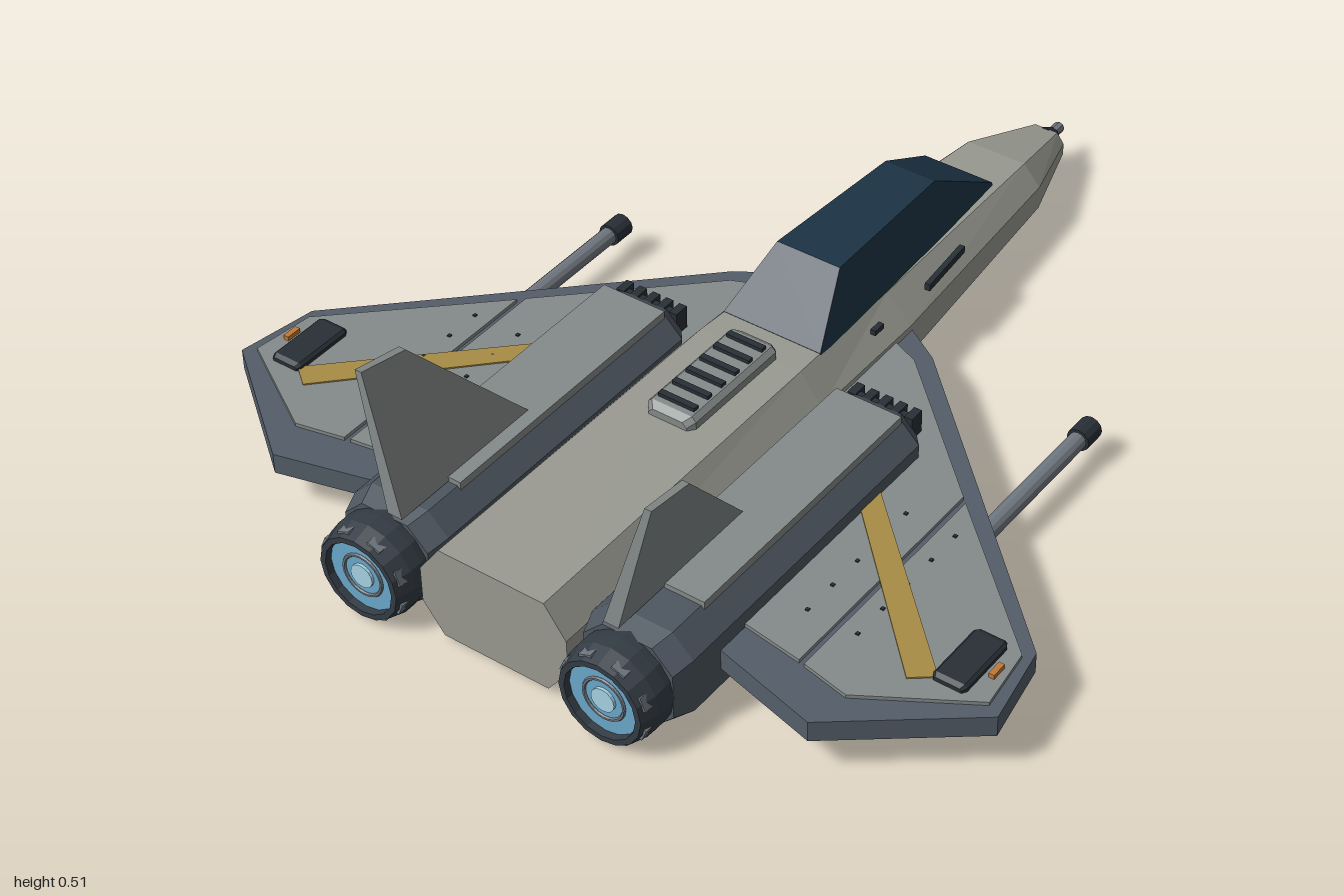
import * as THREE from 'three';

const mat = (color) => new THREE.MeshStandardMaterial({ color, flatShading: true });
const HULL = mat(0x9a9b92), PANEL = mat(0x858b8a), FRAME = mat(0x545e69), DARK = mat(0x282f36);
const NACELLE = mat(0x4d5660), GLASS = mat(0x1c3344), STRIPE = mat(0xa98c45), METAL = mat(0x70777f);
const GLOW = mat(0x6aa9cc), CORE = mat(0xa9d4e6), LAMP = mat(0xc07a35);

function add(parent, name, geometry, material, x = 0, y = 0, z = 0) {
  const mesh = new THREE.Mesh(geometry, material);
  mesh.name = name;
  mesh.position.set(x, y, z);
  parent.add(mesh);
  return mesh;
}

const box = (w, h, d) => new THREE.BoxGeometry(w, h, d);
// Cylinder along z: r0 at the -z end, r1 at the +z end
const rod = (r0, r1, len, n = 12) => new THREE.CylinderGeometry(r1, r0, len, n).rotateX(Math.PI / 2);

// Skin convex rings (counter-clockwise seen from +z, ordered by rising z) and cap both ends
function loft(rings) {
  const out = [], n = rings[0].length, last = rings[rings.length - 1];
  const tri = (...p) => p.forEach((v) => out.push(...v));
  for (let i = 0; i < rings.length - 1; i++) {
    for (let j = 0; j < n; j++) {
      const k = (j + 1) % n, a = rings[i], b = rings[i + 1];
      tri(a[j], a[k], b[j]);
      tri(a[k], b[k], b[j]);
    }
  }
  for (let j = 1; j < n - 1; j++) {
    tri(rings[0][0], rings[0][j + 1], rings[0][j]);
    tri(last[0], last[j], last[j + 1]);
  }
  const g = new THREE.BufferGeometry();
  g.setAttribute('position', new THREE.Float32BufferAttribute(out, 3));
  g.computeVertexNormals();
  return g;
}

// Eight-sided section: half width w, half flat t, bottom y0, top y1, side edges at ya and yb
const octagon = (z, w, t, y0, y1, ya, yb) => [
  [w, ya, z], [w, yb, z], [t, y1, z], [-t, y1, z], [-w, yb, z], [-w, ya, z], [-t, y0, z], [t, y0, z]];

// Chamfered rectangle section
const chamfered = (z, w, y0, y1, c) => octagon(z, w, w - c, y0, y1, y0 + c, y1 - c);

// Four-sided section, wider at the bottom
const trapezoid = (z, wb, yb, wt, yt) => [[wb, yb, z], [wt, yt, z], [-wt, yt, z], [-wb, yb, z]];

// Horizontal plate from [x, z] corners, mirrored by side
function plate(points, side, y0, y1) {
  const shape = new THREE.Shape(points.map(([x, z]) => new THREE.Vector2(side * x, -z)));
  return new THREE.ExtrudeGeometry(shape, { depth: y1 - y0, bevelEnabled: false })
    .rotateX(-Math.PI / 2).translate(0, y0, 0);
}

function buildFuselage(g) {
  const sections = [[-0.945, 0.045, 0.028, 0.055, 0.125], [-0.74, 0.11, 0.07, 0.04, 0.18],
    [-0.17, 0.163, 0.105, 0.026, 0.215], [0.15, 0.17, 0.118, 0.022, 0.228], [0.95, 0.17, 0.122, 0.02, 0.23]];
  add(g, 'fuselage', loft(sections.map(([z, w, t, y0, y1]) =>
    octagon(z, w, t, y0, y1, y0 + 0.3 * (y1 - y0), y0 + 0.68 * (y1 - y0)))), HULL);
  add(g, 'keel', loft([trapezoid(-0.78, 0.035, 0.024, 0.04, 0.05),
    trapezoid(-0.4, 0.06, 0.017, 0.07, 0.04), trapezoid(0.93, 0.075, 0.012, 0.085, 0.03)]), DARK);
  add(g, 'noseCollar', rod(0.02, 0.036, 0.03, 8), DARK, 0, 0.095, -0.955);
  add(g, 'noseProbe', rod(0.013, 0.013, 0.05, 8), METAL, 0, 0.098, -0.975);

  // Canopy with a raked windscreen and rear slope
  add(g, 'canopy', loft([trapezoid(-0.59, 0.085, 0.22, 0.083, 0.226),
    trapezoid(-0.405, 0.097, 0.22, 0.06, 0.33), trapezoid(-0.045, 0.113, 0.22, 0.075, 0.34),
    trapezoid(0.08, 0.118, 0.22, 0.116, 0.226)]), GLASS);

  // Slatted vent on the spine
  add(g, 'spineVent', loft([chamfered(0.13, 0.045, 0.215, 0.245, 0.01), chamfered(0.145, 0.057, 0.215, 0.255, 0.01),
    chamfered(0.405, 0.057, 0.215, 0.255, 0.01), chamfered(0.42, 0.045, 0.215, 0.245, 0.01)]), PANEL);
  for (let i = 0; i < 6; i++) add(g, 'ventSlat', box(0.085, 0.012, 0.014), DARK, 0, 0.257, 0.165 + i * 0.044);

  // Slots beside the cockpit
  for (const s of [-1, 1]) {
    add(g, 'sideSlot', box(0.012, 0.016, 0.15), DARK, s * 0.138, 0.19, -0.33).rotation.y = s * 0.09;
    add(g, 'sideMarker', box(0.012, 0.012, 0.03), DARK, s * 0.142, 0.196, -0.08);
  }
}

function buildEngine(g, side) {
  const e = new THREE.Group();
  e.name = 'engine';
  e.position.x = side * 0.281;
  g.add(e);
  add(e, 'nacelle', loft([chamfered(0.115, 0.085, 0.035, 0.2, 0.035), chamfered(0.15, 0.113, 0.01, 0.222, 0.045),
    chamfered(0.87, 0.113, 0.01, 0.222, 0.045), chamfered(0.915, 0.1, 0.02, 0.21, 0.045)]), NACELLE);
  add(e, 'topPanel', box(0.15, 0.02, 0.63), PANEL, 0, 0.223, 0.47);

  // Intake teeth
  add(e, 'intakeBar', box(0.15, 0.045, 0.02), DARK, 0, 0.172, 0.107);
  for (let i = -2; i <= 2; i++) add(e, 'intakeTooth', box(0.018, 0.055, 0.035), DARK, i * 0.033, 0.172, 0.1);

  // Exhaust nozzle with ribs and glowing core
  const profile = [[0.1, 0.9], [0.104, 0.93], [0.104, 0.96], [0.092, 1], [0.08, 1], [0.076, 0.95]];
  add(e, 'nozzle', new THREE.LatheGeometry(profile.map(([r, z]) => new THREE.Vector2(r, z)).reverse(), 16)
    .rotateX(Math.PI / 2), new THREE.MeshStandardMaterial({ color: 0x343c44, flatShading: true, side: THREE.DoubleSide }), 0, 0.113, 0);
  for (let i = 0; i < 8; i++) {
    const a = (i + 0.5) * Math.PI / 4;
    add(e, 'nozzleRib', box(0.012, 0.03, 0.06), METAL, Math.cos(a) * 0.092, 0.113 + Math.sin(a) * 0.092, 0.96)
      .rotation.z = a;
  }
  add(e, 'exhaustGlow', rod(0.079, 0.079, 0.02, 24), GLOW, 0, 0.113, 0.975);
  add(e, 'exhaustRing', new THREE.TorusGeometry(0.045, 0.004, 6, 24), METAL, 0, 0.113, 0.986);
  add(e, 'exhaustCore', rod(0.026, 0.026, 0.01, 16), CORE, 0, 0.113, 0.986);
}

// Tail fin: tapered plate leaning outward
function buildFin(g, side) {
  const shape = new THREE.Shape([[0.92, 0.225], [0.9, 0.52], [0.785, 0.5], [0.54, 0.225]]
    .map(([z, y]) => new THREE.Vector2(-z, y)));
  const fin = new THREE.ExtrudeGeometry(shape, { depth: 0.034, bevelEnabled: false })
    .translate(0, 0, -0.017).rotateY(Math.PI / 2);
  const p = fin.attributes.position;
  for (let i = 0; i < p.count; i++) {
    const h = p.getY(i) - 0.225;
    p.setX(i, p.getX(i) * (1 - 1.9 * h) + side * (0.25 + 0.26 * h));
  }
  fin.computeVertexNormals();
  add(g, 'tailFin', fin, PANEL);
}

function buildWing(g, side) {
  const w = new THREE.Group();
  w.name = 'wing';
  g.add(w);
  add(w, 'wingFrame', plate([[0.1, -0.19], [0.165, -0.175], [0.245, -0.125], [0.86, 0.47], [0.89, 0.645],
    [0.625, 0.848], [0.397, 0.79], [0.1, 0.79]], side, 0.094, 0.14), FRAME);
  add(w, 'innerPanel', plate([[0.13, -0.13], [0.225, -0.09], [0.527, 0.197], [0.527, 0.735], [0.397, 0.715],
    [0.13, 0.71]], side, 0.138, 0.148), PANEL);
  add(w, 'outerPanel', plate([[0.54, 0.21], [0.845, 0.495], [0.862, 0.63], [0.645, 0.76], [0.54, 0.738]],
    side, 0.138, 0.148), PANEL);
  add(w, 'stripe', plate([[0.38, 0.265], [0.755, 0.63], [0.71, 0.665], [0.38, 0.33]], side, 0.146, 0.151), STRIPE);
  for (let i = 0; i < 5; i++)
    for (const x of [0.465, 0.575])
      add(w, 'rivet', box(0.007, 0.004, 0.007), DARK, side * x, 0.149, 0.3 + i * 0.08);

  // Wing tip housing and lamp
  add(w, 'tipHousing', loft([chamfered(0.49, 0.03, 0.14, 0.157, 0.004), chamfered(0.5, 0.036, 0.14, 0.162, 0.006),
    chamfered(0.63, 0.036, 0.14, 0.162, 0.006), chamfered(0.64, 0.03, 0.14, 0.157, 0.004)]), DARK, side * 0.78);
  add(w, 'tipLamp', box(0.012, 0.014, 0.035), LAMP, side * 0.832, 0.151, 0.56);

  // Underslung cannon
  add(w, 'cannonPod', loft([chamfered(0.24, 0.026, 0.05, 0.1, 0.01), chamfered(0.26, 0.036, 0.042, 0.1, 0.012),
    chamfered(0.63, 0.036, 0.042, 0.1, 0.012), chamfered(0.65, 0.026, 0.05, 0.1, 0.01)]), FRAME, side * 0.577);
  add(w, 'cannonBarrel', rod(0.019, 0.019, 0.42), METAL, side * 0.577, 0.08, 0.05);
  add(w, 'cannonMuzzle', rod(0.025, 0.025, 0.05), DARK, side * 0.577, 0.08, -0.163);
}

export function createModel() {
  const model = new THREE.Group();
  model.name = 'spaceFighter';
  buildFuselage(model);
  for (const side of [1, -1]) {
    buildEngine(model, side);
    buildFin(model, side);
    buildWing(model, side);
  }
  return model;
}
